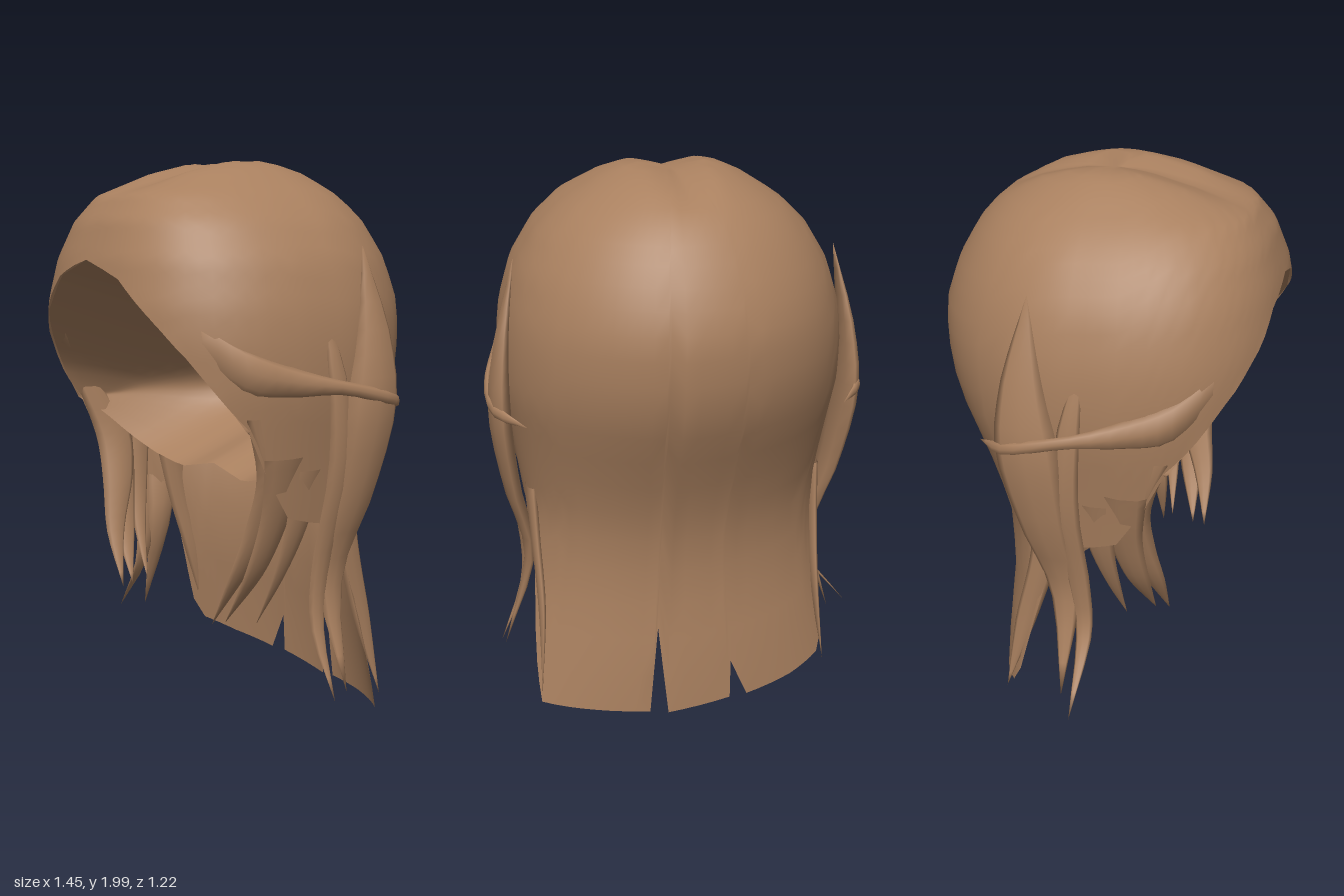
import * as THREE from 'three';
import { mergeVertices } from 'three/addons/utils/BufferGeometryUtils.js';

const CX = 0.035; // the hair's own centre line

// Linear lookup in rows of [key, a, b, ...]
function lookup(rows, key, col) {
  if (key <= rows[0][0]) return rows[0][col];
  for (let i = 1; i < rows.length; i++) {
    const p = rows[i - 1], q = rows[i];
    if (key <= q[0]) return p[col] + (q[col] - p[col]) * (key - p[0]) / (q[0] - p[0]);
  }
  return rows[rows.length - 1][col];
}

// Smooth grid surface: u runs right, v runs down
function gridSurface(nu, nv, fn) {
  const pos = [], index = [];
  for (let i = 0; i <= nu; i++) for (let j = 0; j <= nv; j++) pos.push(...fn(i, j));
  for (let i = 0; i < nu; i++) for (let j = 0; j < nv; j++) {
    const a = i * (nv + 1) + j, b = a + nv + 1;
    index.push(a, a + 1, b, b, a + 1, b + 1);
  }
  let geo = new THREE.BufferGeometry();
  geo.setAttribute('position', new THREE.Float32BufferAttribute(pos, 3));
  geo.setIndex(index);
  geo = mergeVertices(geo, 1e-4);
  geo.computeVertexNormals();
  return geo;
}

// Horizontal sections: height, half width, front depth, back depth
const PROFILE = [
  [0, 0.73, 0.6, 0.39], [0.2, 0.66, 0.6, 0.385], [0.5, 0.58, 0.6, 0.36],
  [0.75, 0.55, 0.6, 0.385], [0.95, 0.58, 0.61, 0.46], [1.22, 0.625, 0.63, 0.58],
  [1.38, 0.625, 0.645, 0.605], [1.5, 0.61, 0.64, 0.605], [1.65, 0.565, 0.61, 0.555],
  [1.78, 0.485, 0.56, 0.48], [1.87, 0.39, 0.49, 0.4], [1.95, 0.26, 0.29, 0.27],
  [1.985, 0.18, 0.15, 0.15], [1.995, 0.13, 0.09, 0.09], [2, 0, 0, 0],
];

// Lower edge: angle from the front, height
const SIDE = [[0, 1.65], [15, 1.59], [31, 1.45], [42, 1.34], [52, 1.22], [63, 1.1], [70, 0.95], [79, 0.79],
  [90, 0.75], [98, 0.7], [106, 0.61], [114, 0.42], [123, 0.18]];
const EDGE = [
  ...SIDE, [130, 0.03], [150, 0.02], [167, 0.01], [168, 0.35], [172.5, 0],
  [191.5, 0.03], [192.7, 0.18], [197.2, 0.03], [214.6, 0.06], [230, 0.1],
  ...SIDE.map(([a, y]) => [360 - a, y]).reverse(),
];

// Cap and long back curtain in one sheet
function shellGeometry() {
  const cols = [];
  for (let i = 1; i < EDGE.length; i++) {
    const [a0, y0] = EDGE[i - 1], [a1, y1] = EDGE[i];
    const n = Math.ceil((a1 - a0) / 5);
    for (let k = 0; k < n; k++) cols.push([a0 + (a1 - a0) * k / n, y0 + (y1 - y0) * k / n]);
  }
  cols.push(EDGE[EDGE.length - 1]);
  const rows = 24;
  return gridSurface(cols.length - 1, rows, (i, j) => {
    const [deg, yEnd] = cols[i];
    const y = 2 - (2 - yEnd) * Math.pow(j / rows, 1.8);
    const s = Math.sin(deg * Math.PI / 180), c = Math.cos(deg * Math.PI / 180);
    const p = c > 0 ? 0.8 : 1; // the front is boxier than the back
    const x = lookup(PROFILE, y, 1) * Math.sign(s) * Math.pow(Math.abs(s), p);
    const z = c > 0 ? lookup(PROFILE, y, 2) * Math.pow(c, p) : lookup(PROFILE, y, 3) * c;
    // shallow parting along the crown
    const fade = THREE.MathUtils.smoothstep(y, 1.85, 1.97);
    const groove = 0.03 * Math.max(0, 1 - Math.abs(x) / 0.12) * fade;
    return [CX + x, y - groove, z];
  });
}

// Hollow inside the face opening: |x|, upper y, upper z, lower y, lower z
const HOLLOW = [
  [0, 1.65, 0.61, 0.89, 0.08], [0.2, 1.59, 0.6, 0.85, 0.09], [0.36, 1.45, 0.57, 0.89, 0.12],
  [0.45, 1.34, 0.5, 0.95, 0.17], [0.52, 1.22, 0.42, 1.04, 0.25], [0.555, 1.1, 0.34, 1.1, 0.34],
];
function hollowGeometry() {
  const nu = 28, nv = 16;
  return gridSurface(nu, nv, (i, j) => {
    const x = -0.555 * Math.cos(Math.PI * i / nu), t = j / nv, ax = Math.abs(x);
    const [yU, zU, yL, zL] = [1, 2, 3, 4].map((k) => lookup(HOLLOW, ax, k));
    const depth = 0.8 * Math.sqrt(Math.max(0, 1 - (x / 0.555) ** 2));
    return [CX + x, yU + (yL - yU) * t, zU + (zL - zU) * t - depth * Math.sin(Math.PI * t)];
  });
}

// Flat tapered lock through points [x offset, y, z, width]; wide along z, or along y for bands
function lockGeometry(points, side, wideY = false, flat = 0.35) {
  const path = new THREE.CatmullRomCurve3(points.map(([x, y, z]) => new THREE.Vector3(CX + side * x, y, z)));
  const widths = new THREE.CatmullRomCurve3(points.map((p) => new THREE.Vector3(p[3], 0, 0)));
  const nu = 8, nv = 16;
  return gridSurface(nu, nv, (i, j) => {
    const c = path.getPoint(j / nv), w = Math.max(0, widths.getPoint(j / nv).x) / 2;
    const a = 2 * Math.PI * i / nu;
    const across = Math.cos(a) * w, out = Math.sin(a) * w * flat;
    return wideY ? [c.x + out, c.y + across, c.z] : [c.x + out, c.y, c.z + across];
  });
}

export function createModel() {
  const group = new THREE.Group();
  const hair = new THREE.MeshStandardMaterial({ color: 0xa9805f, side: THREE.DoubleSide });
  hair.name = 'brownHair';
  const add = (name, geo) => {
    const mesh = new THREE.Mesh(geo, hair);
    mesh.name = name;
    group.add(mesh);
  };

  add('hairShell', shellGeometry());
  add('innerCap', hollowGeometry());

  for (const side of [1, -1]) {
    const label = side > 0 ? 'left' : 'right';
    // broad lock hanging over the temple
    add(label + 'SideLock', lockGeometry([
      [0.575, 1.7, -0.13, 0], [0.63, 1.4, -0.14, 0.15], [0.645, 1.15, -0.12, 0.23],
      [0.61, 0.85, -0.08, 0.18], [0.55, 0.55, -0.03, 0.11], [0.655, 0.17, -0.02, 0]], side));
    // narrow lock in front of it
    add(label + 'NarrowLock', lockGeometry([
      [0.59, 1.53, 0.06, 0], [0.635, 1.25, 0.02, 0.08], [0.625, 0.95, 0.0, 0.1],
      [0.565, 0.6, 0.03, 0.08], [0.57, 0.4, 0.045, 0.06],
      [side > 0 ? 0.665 : 0.755, 0.15, 0.04, 0]], side));
    // face-framing locks
    add(label + 'FrontLock', lockGeometry([
      [0.555, 1.14, 0.29, 0.1], [0.53, 0.95, 0.2, 0.16], [0.48, 0.78, 0.21, 0.14],
      [0.41, 0.58, 0.265, 0.08], [0.3, 0.38, 0.3, 0]], side));
    add(label + 'InnerFrontLock', lockGeometry([
      [0.56, 1.0, 0.18, 0.18], [0.51, 0.8, 0.18, 0.13], [0.43, 0.58, 0.21, 0.09],
      [0.31, 0.38, 0.25, 0]], side));
    add(label + 'ThinFrontLock', lockGeometry([
      [0.56, 0.95, 0.08, 0.14], [0.51, 0.72, 0.1, 0.09], [0.45, 0.55, 0.125, 0.05],
      [0.36, 0.37, 0.15, 0]], side));
    // lock along the edge of the back curtain
    add(label + 'RearLock', lockGeometry([
      [0.54, 0.85, -0.08, 0.12], [0.535, 0.65, -0.12, 0.1], [0.53, 0.4, -0.19, 0.08],
      [0.55, 0.08, -0.27, 0]], side));
    // swept-back lock from the forehead to behind the temple
    add(label + 'SweptLock', lockGeometry([
      [0.45, 1.4, 0.47, 0.14], [0.55, 1.3, 0.35, 0.15], [0.61, 1.26, 0.2, 0.1],
      [0.67, 1.23, 0.0, 0.045], [0.665, 1.18, -0.2, 0.05], [0.57, 1.15, -0.32, 0]], side, true, 0.6));
  }
  return group;
}
